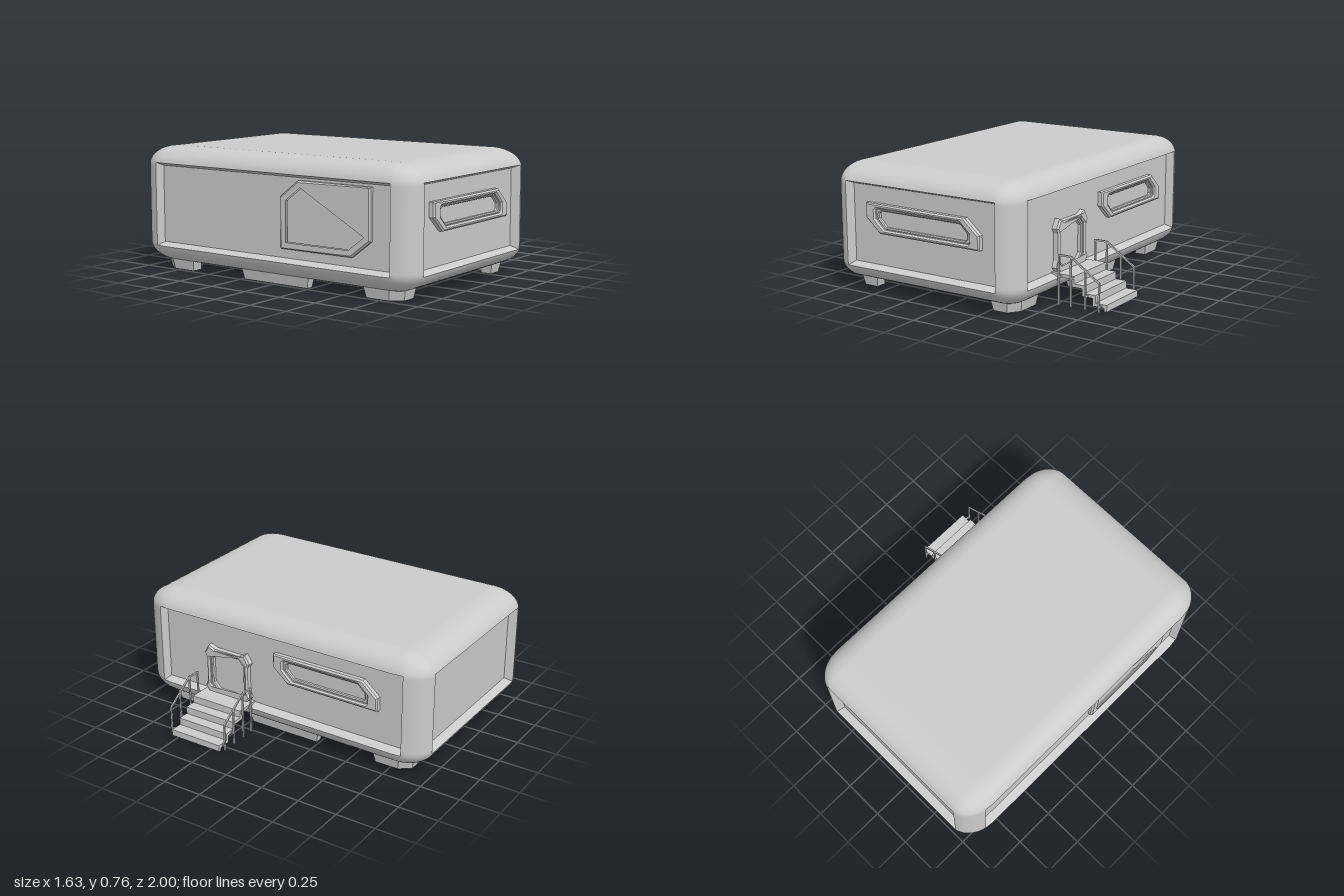
import * as THREE from 'three';

const mat = new THREE.MeshStandardMaterial({ color: 0xcccccc, side: THREE.DoubleSide });
const flat = new THREE.MeshStandardMaterial({ color: 0xcccccc, side: THREE.DoubleSide, flatShading: true });
const C = [-0.16, 0.405, 0];      // body centre
const H = [0.66, 0.355, 1];       // body half sizes
const R = [0.15, 0.12, 0.2];      // corner radii
const OPEN = [0.53, 0.255, 0.86]; // half sizes of the side openings
const DEPTH = 0.055, BEVEL = 0.02;
const Q = Math.PI / 2;

function add(parent, name, geo, material = flat) {
  const m = new THREE.Mesh(geo, material);
  m.name = name;
  parent.add(m);
  return m;
}

// Point on the rounded body: u = [angle, corner], v = [latitude, sign]
function bodyPoint([t, k], [f, s]) {
  const sx = k === 0 || k === 3 ? 1 : -1, sz = k < 2 ? 1 : -1;
  return [
    C[0] + sx * (H[0] - R[0]) + R[0] * Math.cos(t) * Math.cos(f),
    C[1] + s * (H[1] - R[1]) + R[1] * Math.sin(f),
    C[2] + sz * (H[2] - R[2]) + R[2] * Math.sin(t) * Math.cos(f)];
}

// Angles at which the openings cut into the rounded edges
const cutX = Math.asin((OPEN[2] - H[2] + R[2]) / R[2]);
const cutZ = Math.asin((OPEN[0] - H[0] + R[0]) / R[0]);
const cutY = Math.asin((OPEN[1] - H[1] + R[1]) / R[1]);

function bodyShell() {
  const us = [], vs = [], open = [];
  for (let k = 0; k < 4; k++) {
    const a = k % 2 ? cutZ : cutX, b = k % 2 ? cutX : cutZ, n = 10;
    us.push([k * Q, k]); open.push(true);
    for (let i = 0; i <= n; i++) {
      us.push([k * Q + a + (Q - a - b) * i / n, k]);
      open.push(i === n);
    }
    us.push([(k + 1) * Q, k]); open.push(true);
  }
  const n = 9;
  for (let i = 0; i <= n; i++) vs.push([-Q + (Q - cutY) * i / n, -1]);
  vs.push([0, -1], [0, 1]);
  for (let i = 0; i <= n; i++) vs.push([cutY + (Q - cutY) * i / n, 1]);

  const pos = [], idx = [], N = us.length, M = vs.length;
  for (const v of vs) for (const u of us) pos.push(...bodyPoint(u, v));
  for (let j = 0; j < M - 1; j++) for (let i = 0; i < N; i++) {
    if (j >= n && j < n + 3 && open[i]) continue;
    const a = j * N + i, b = j * N + (i + 1) % N;
    idx.push(a, a + N, b, b, a + N, b + N);
  }
  // Floor and roof
  pos.push(C[0], C[1] - H[1], 0, C[0], C[1] + H[1], 0);
  for (let i = 0; i < N; i++) {
    const k = (i + 1) % N, top = (M - 1) * N;
    idx.push(N * M, i, k, N * M + 1, top + k, top + i);
  }
  const g = new THREE.BufferGeometry();
  g.setAttribute('position', new THREE.Float32BufferAttribute(pos, 3));
  g.setIndex(idx);
  g.computeVertexNormals();
  return g;
}

// Sloping reveal round the opening that lies between corners k and k + 1
function reveal(k) {
  const next = (k + 1) % 4, c = k % 2 ? cutX : cutZ, t = (k + 1) * Q;
  const us = [[t - c, k], [t, k], [t, next], [t + c, next]];
  const vs = [[-cutY, -1], [0, -1], [0, 1], [cutY, 1]];
  const loop = [
    ...us.map(u => bodyPoint(u, vs[0])), ...vs.slice(1).map(v => bodyPoint(us[3], v)),
    ...us.slice(0, 3).reverse().map(u => bodyPoint(u, vs[3])),
    ...vs.slice(1, 3).reverse().map(v => bodyPoint(us[0], v))];
  const axis = k % 2 ? 0 : 2;
  const inner = loop.map(p => p.map((w, a) => {
    const d = w - C[a];
    if (a === axis) return C[a] + Math.sign(d) * (H[a] - DEPTH);
    return C[a] + THREE.MathUtils.clamp(d, BEVEL - OPEN[a], OPEN[a] - BEVEL);
  }));
  const pos = [], n = loop.length;
  for (let i = 0; i < n; i++) {
    const j = (i + 1) % n;
    pos.push(...loop[i], ...inner[i], ...loop[j], ...loop[j], ...inner[i], ...inner[j]);
  }
  const g = new THREE.BufferGeometry();
  g.setAttribute('position', new THREE.Float32BufferAttribute(pos, 3));
  g.computeVertexNormals();
  return g;
}

const poly = pts => new THREE.Shape(pts.map(p => new THREE.Vector2(...p)));

// Rectangle with two large opposite chamfers (cx, cy) and two small ones (s)
function chamfered(w, h, cx, cy, s = 0.001) {
  const x = w / 2, y = h / 2;
  return poly([[-x + cx, -y], [x - s, -y], [x, -y + s], [x, y - cy],
    [x - cx, y], [-x + s, y], [-x, y - s], [-x, -y + cy]]);
}

function ring(outer, hole, height, bevel) {
  outer.holes = [hole];
  return new THREE.ExtrudeGeometry(outer, { depth: height - bevel, bevelEnabled: true,
    bevelThickness: bevel, bevelSize: bevel, bevelSegments: 1 , bevelOffset: -bevel });
}

function windowUnit(w) {
  const g = new THREE.Group();
  g.name = 'window';
  add(g, 'windowFrame', ring(chamfered(w, 0.175, 0.1, 0.088), chamfered(w - 0.14, 0.12, 0.065, 0.06, 0.01), 0.035, 0.01));
  add(g, 'windowInnerFrame', ring(chamfered(w - 0.135, 0.125, 0.067, 0.062, 0.012), chamfered(w - 0.18, 0.095, 0.05, 0.05, 0.015), 0.02, 0.006));
  return g;
}

function doorUnit() {
  const g = new THREE.Group();
  g.name = 'door';
  const half = [[0.09, 0.465], [0.135, 0.485], [0.168, 0.43], [0.152, 0.4], [0.152, 0.24], [0.168, 0.2], [0.14, 0.165]];
  const outline = [...half, ...half.map(([x, y]) => [-x, y]).reverse()];
  const octagon = (x, y0, y1, c) => poly([[x - c, y0], [x, y0 + c], [x, y1 - c], [x - c, y1],
    [c - x, y1], [-x, y1 - c], [-x, y0 + c], [c - x, y0]]);
  add(g, 'doorFrame', ring(poly(outline), octagon(0.13, 0.178, 0.45, 0.045), 0.04, 0.01));
  add(g, 'doorInnerFrame', ring(octagon(0.133, 0.175, 0.453, 0.046), octagon(0.113, 0.19, 0.437, 0.04), 0.025, 0.006));
  return g;
}

function footGeometry(outline) {
  const g = new THREE.ExtrudeGeometry(poly(outline), { depth: 0.08, bevelEnabled: false });
  g.rotateX(Q);
  g.translate(0, 0.08, 0);
  g.computeBoundingBox();
  const c = g.boundingBox.getCenter(new THREE.Vector3()), p = g.attributes.position;
  // Narrow the foot towards the ground
  for (let i = 0; i < p.count; i++) if (p.getY(i) < 0.01) {
    const x = p.getX(i) - c.x, z = p.getZ(i) - c.z;
    p.setXYZ(i, p.getX(i) - Math.sign(x) * 0.015, 0, p.getZ(i) - Math.sign(z) * 0.015);
  }
  return g;
}

function bar(parent, name, a, b, r = 0.005) {
  const A = new THREE.Vector3(...a), B = new THREE.Vector3(...b), d = B.clone().sub(A);
  const m = add(parent, name, new THREE.BoxGeometry(2 * r, d.length(), 2 * r));
  m.position.copy(A).add(B).multiplyScalar(0.5);
  m.quaternion.setFromUnitVectors(new THREE.Vector3(0, 1, 0), d.normalize());
}

function stairs() {
  const g = new THREE.Group();
  g.name = 'stairs';
  // Folded tread and riser profile
  const top = [[0.44, 0.175]], under = [[0.44, 0.155]];
  [0.6, 0.67, 0.74, 0.815].forEach((x, i) => {
    const y = 0.175 - i * 0.045;
    top.push([x, y], [x, i < 3 ? y - 0.045 : 0]);
    under.push([x - 0.018, y - 0.02], [x - 0.018, i < 3 ? y - 0.065 : 0]);
  });
  const steps = add(g, 'steps', new THREE.ExtrudeGeometry(poly([...top, ...under.reverse()]), { depth: 0.355, bevelEnabled: false }));
  steps.position.z = 0.19;
  const posts = [[0.515, 0.295], [0.595, 0.295], [0.69, 0.23], [0.78, 0.168]];
  const treads = [0.165, 0.165, 0.075, 0.03];
  for (const [z, edge] of [[0.172, 0.2], [0.573, 0.54]]) posts.forEach(([x, y], i) => {
    bar(g, 'railPost', [x, 0, z], [x, y + 0.004, z]);
    bar(g, 'railBracket', [x, treads[i], z], [x, treads[i], edge], 0.004);
    if (i) bar(g, 'handRail', [...posts[i - 1], z], [x, y, z]);
  });
  return g;
}

export function createModel() {
  const model = new THREE.Group();
  model.name = 'cabin';

  // Body with recessed walls
  add(model, 'bodyShell', bodyShell(), mat);
  for (let k = 0; k < 4; k++) add(model, 'wallReveal', reveal(k));
  add(model, 'wallPanels', new THREE.BoxGeometry(2 * (H[0] - DEPTH), 2 * OPEN[1], 2 * (H[2] - DEPTH))).position.set(...C);

  // Windows, entrance and side hatch
  const wallX = H[0] - DEPTH, wallZ = H[2] - DEPTH;
  const place = (o, x, y, z, turn) => { o.position.set(x, y, z); o.rotation.y = turn; model.add(o); };
  place(windowUnit(0.81), -0.155, 0.4525, wallZ, 0);
  place(windowUnit(0.72), C[0] + wallX, 0.4625, -0.33, Q);
  place(doorUnit(), C[0] + wallX, 0, 0.37, Q);
  const hatch = new THREE.Group();
  hatch.name = 'hatch';
  // Chamfers are on the upper back and lower front corners
  const mirror = s => poly(s.getPoints().map(p => [-p.x, p.y]));
  add(hatch, 'hatchFrame', ring(mirror(chamfered(0.63, 0.4, 0.13, 0.1)), mirror(chamfered(0.56, 0.34, 0.11, 0.085)), 0.025, 0.01));
  add(hatch, 'hatchPanel', new THREE.ExtrudeGeometry(mirror(chamfered(0.54, 0.32, 0.105, 0.08)), { depth: 0.01, bevelEnabled: false }));
  place(hatch, C[0] - wallX, 0.425, 0.4, -Q);

  // Corner feet and middle feet
  const corner = footGeometry([[0.41, 0.88], [0.53, 0.88], [0.58, 0.81], [0.58, 0.63], [0.51, 0.63], [0.51, 0.78], [0.48, 0.81], [0.41, 0.81]]);
  const middle = footGeometry([[0.51, -0.25], [0.58, -0.25], [0.58, 0.25], [0.51, 0.25]]);
  for (const sx of [-1, 1]) {
    for (const sz of [-1, 1]) {
      const foot = add(model, 'cornerFoot', corner);
      foot.position.x = C[0];
      foot.scale.set(sx, 1, sz);
    }
    const pad = add(model, 'middleFoot', middle);
    pad.position.x = C[0];
    pad.scale.x = sx;
  }

  model.add(stairs());
  return model;
}
